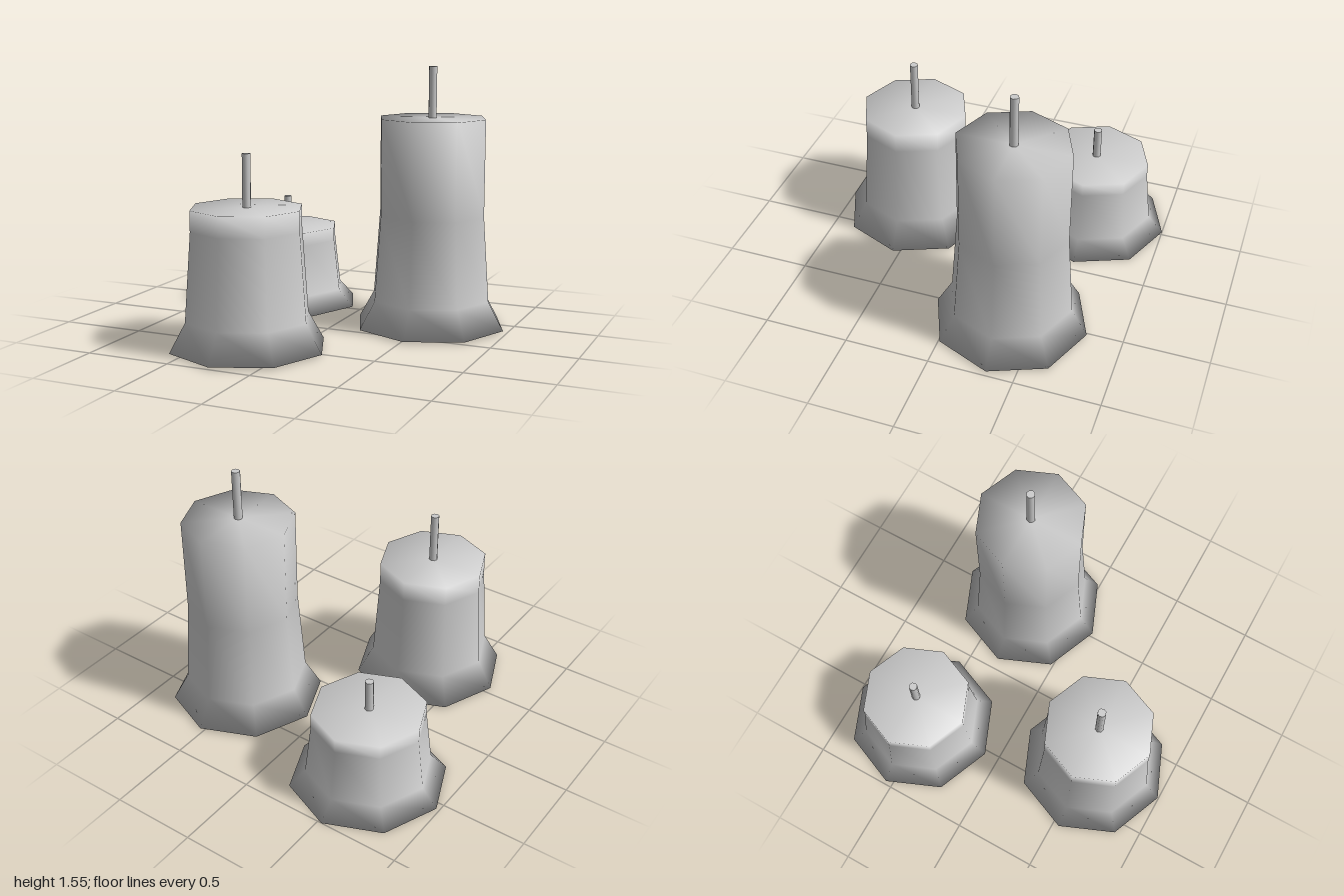
import * as THREE from 'three';
import { mergeVertices } from 'three/addons/utils/BufferGeometryUtils.js';

const SIDES = 8;

// Closed eight-sided body whose vertices share normals all over, for soft shading
function softLathe(profile) {
  const geometry = new THREE.LatheGeometry(profile.map(([r, y]) => new THREE.Vector2(r, y)), SIDES);
  geometry.deleteAttribute('normal');
  geometry.deleteAttribute('uv');
  const merged = mergeVertices(geometry, 1e-4);
  merged.computeVertexNormals();
  return merged;
}

// scale stretches the flared foot and shoulder heights; top is the height of the wax
function candle(name, { x, y, z, scale, top }) {
  const material = new THREE.MeshStandardMaterial({ color: 0xcccccc });
  const group = new THREE.Group();
  group.name = name;
  group.position.set(x, y, z);

  // Wax: flat bottom, flared foot, tapering wall, straight shoulder, flat top
  const wax = new THREE.Mesh(softLathe([
    [0, 0], [0.455, 0], [0.362, 0.165 * scale], [0.325, 0.67 * scale], [0.325, top], [0, top],
  ]), material);
  wax.name = 'wax';

  // Wick: thin rod standing on the top
  const length = 0.3 * scale;
  const wick = new THREE.Mesh(new THREE.CylinderGeometry(0.025, 0.025, length, SIDES), material);
  wick.name = 'wick';
  wick.position.y = top + length / 2;

  group.add(wax, wick);
  return group;
}

export function createModel() {
  const model = new THREE.Group();
  model.name = 'candles';
  model.add(
    candle('shortCandle', { x: -0.525, y: 0, z: -0.545, scale: 0.625, top: 0.5 }),
    candle('mediumCandle', { x: -0.25, y: 0.01, z: 0.54, scale: 1, top: 0.79 }),
    candle('tallCandle', { x: 0.522, y: 0.01, z: -0.335, scale: 1, top: 1.24 }),
  );
  return model;
}
